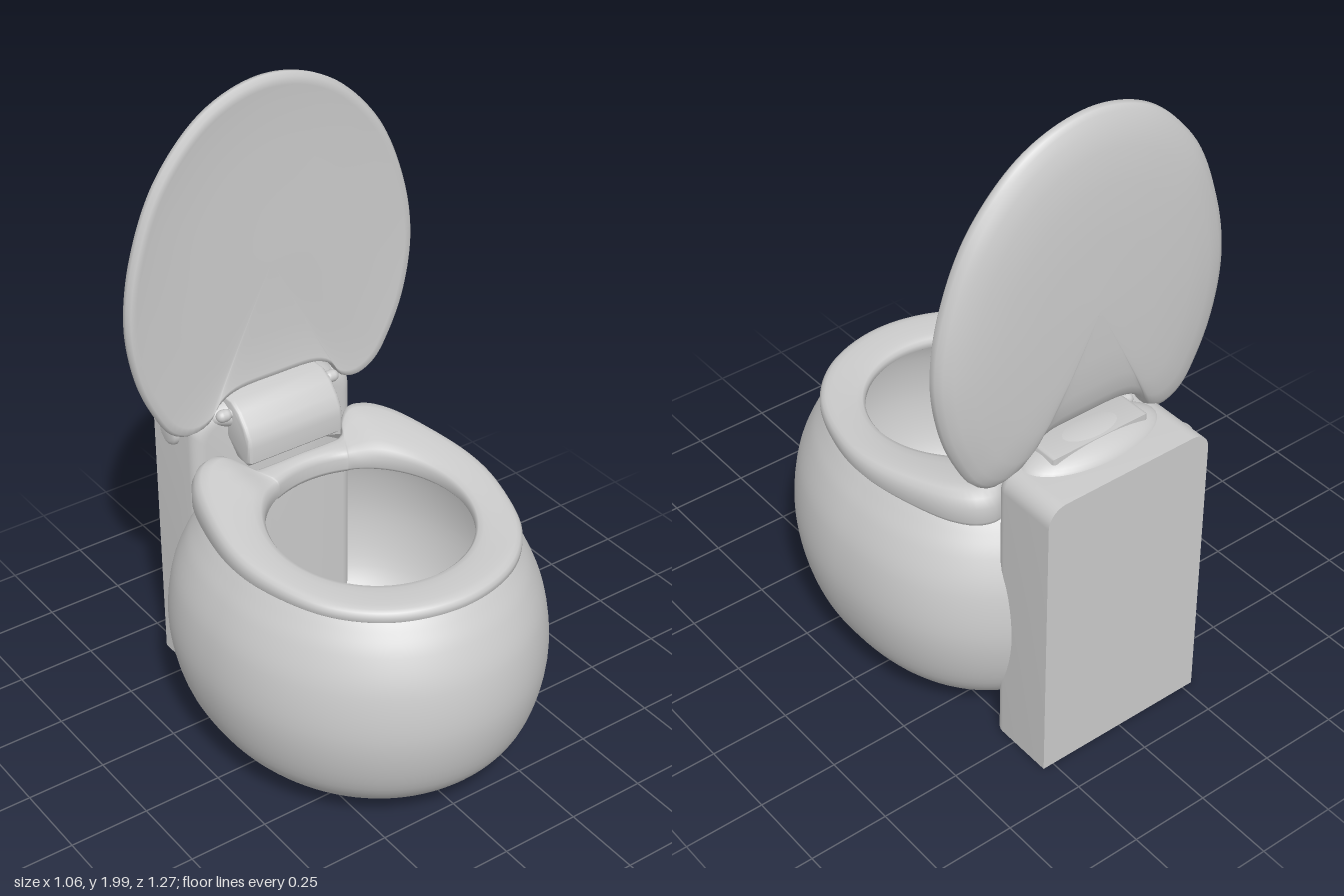
import * as THREE from 'three';
import { toCreasedNormals } from 'three/addons/utils/BufferGeometryUtils.js';

const V = (x, y, z) => new THREE.Vector3(x, y, z);
const material = new THREE.MeshStandardMaterial({ color: 0xcccccc, side: THREE.DoubleSide });

// Skin over a list of closed loops that all have the same number of points
function loft(loops) {
  const n = loops[0].length, index = [];
  for (let i = 0; i < loops.length - 1; i++) {
    for (let j = 0; j < n; j++) {
      const a = i * n + j, b = i * n + (j + 1) % n;
      index.push(a, b, a + n, b, b + n, a + n);
    }
  }
  const geometry = new THREE.BufferGeometry().setFromPoints(loops.flat());
  geometry.setIndex(index);
  geometry.computeVertexNormals();
  return geometry;
}

// Smooth closed outline from one half, mirrored in x
function mirroredOutline(half, count) {
  const other = half.slice(1, -1).reverse().map(([x, y]) => [-x, y]);
  const points = [...half, ...other].map(([x, y]) => V(x, y, 0));
  return new THREE.CatmullRomCurve3(points, true).getSpacedPoints(count).slice(0, -1);
}

// Oval radius point: plain ellipse at the front, squarer at the back
function oval(t, halfX, front, back, cz, power) {
  const s = Math.sin(t), c = Math.cos(t);
  const p = c < 0 ? 2 / power : 1;
  return [
    Math.sign(s) * halfX * Math.abs(s) ** p,
    cz + (c < 0 ? -(cz - back) : front - cz) * Math.abs(c) ** p,
  ];
}

// Hollow bowl: ovals that follow a profile of half width, height and front reach
function bowlGeometry() {
  const profile = new THREE.CatmullRomCurve3([
    [0.27, 0.01, 0.33], [0.32, 0.03, 0.4], [0.42, 0.1, 0.51], [0.49, 0.2, 0.59], [0.53, 0.38, 0.635],
    [0.515, 0.55, 0.62], [0.475, 0.66, 0.575], [0.44, 0.72, 0.535], [0.415, 0.758, 0.505],
  ].map((p) => V(...p))).getPoints(40);
  const ring = (p, k = 1) => Array.from({ length: 96 }, (_, j) => {
    const [x, z] = oval(j / 96 * Math.PI * 2, p.x, p.z, -0.85 * p.z, 0.03, 2.4);
    return V(x * k, p.y, z * k);
  });
  return loft([ring(profile[0], 0), ring(profile[0], 0.9), ...profile.map((p) => ring(p))]);
}

// Seat: ring between an outline with two rear lobes and an oval hole, rising to the back
function seatGeometry() {
  const outer = mirroredOutline([
    [0, 0.535], [0.2, 0.485], [0.34, 0.355], [0.42, 0.15], [0.435, 0], [0.405, -0.18], [0.36, -0.31],
    [0.31, -0.37], [0.25, -0.385], [0.2, -0.35], [0.165, -0.3], [0.1, -0.29], [0, -0.29],
  ], 160);
  // across the ring (0 outer, 1 inner) and up it (0 bottom, 1 top)
  const section = [
    [0.05, 0], [0, 0.15], [0, 0.55], [0.05, 0.8], [0.13, 0.94], [0.25, 1], [0.45, 1], [0.65, 0.97],
    [0.82, 0.91], [0.94, 0.8], [1, 0.6], [1, 0.15], [0.95, 0], [0.05, 0],
  ];
  const step = THREE.MathUtils.smoothstep;
  const height = (x, z) => {
    const t = THREE.MathUtils.clamp((0.4 - z) / 0.76, 0, 1);
    const dip = (1 - step(Math.abs(x), 0.14, 0.25)) * (1 - step(z, -0.3, -0.1));
    return 0.04 + 0.08 * t ** 1.6 - 0.035 * dip;
  };
  return loft(section.map(([s, h]) => outer.map((o) => {
    const a = Math.atan2(o.x, o.y - 0.08);
    const x = THREE.MathUtils.lerp(o.x, 0.3 * Math.sin(a), s);
    const z = THREE.MathUtils.lerp(o.y, 0.08 + 0.31 * Math.cos(a), s);
    return V(x, 0.755 + height(x, z) * h, z);
  })));
}

// Raised lid: slightly dished front, domed back, notch for the hinge
function lidGeometry() {
  const outline = mirroredOutline([
    [0, 2], [0.2, 1.945], [0.37, 1.78], [0.465, 1.56], [0.495, 1.36], [0.47, 1.18], [0.42, 1.05],
    [0.365, 0.965], [0.3, 0.935], [0.24, 0.955], [0.205, 1.005], [0.15, 1.033], [0, 1.04],
  ], 160);
  // scale of the outline and depth
  const section = [
    [0, -0.405], [0.3, -0.405], [0.6, -0.402], [0.85, -0.396], [0.94, -0.388], [0.98, -0.388], [1, -0.4],
    [0.995, -0.418], [0.97, -0.437], [0.92, -0.453], [0.82, -0.469], [0.65, -0.481], [0.4, -0.488], [0, -0.49],
  ];
  return loft(section.map(([k, z]) => outline.map((p) => {
    const y = 1.42 + (p.y - 1.42) * k;
    return V(p.x * k, y, z - 0.012 * ((y - 1.42) / 0.58) ** 2 * (z > -0.43 ? 1 : 0));
  })));
}

// Tank: flat back, rounded top corners and softened front edges
function tankGeometry() {
  const ring = (inset, z) => {
    const w = 0.285 - inset, top = 0.975 - inset, r = 0.06, points = [];
    for (const side of [1, -1]) {
      for (let i = 0; i <= 8; i++) {
        const a = (side > 0 ? i : 8 - i) / 8 * Math.PI / 2;
        points.push(V(side * (w - r + r * Math.sin(a)), top - r + r * Math.cos(a), z));
      }
      if (side > 0) points.push(V(w, 0.01, z), V(-w, 0.01, z));
    }
    return points;
  };
  const centre = (z) => ring(0, z).map(() => V(0, 0.5, z));
  const edge = Array.from({ length: 7 }, (_, i) => {
    const a = i / 6 * Math.PI / 2;
    return ring(0.04 * (1 - Math.sin(a)), -0.445 + 0.04 * Math.cos(a));
  });
  return toCreasedNormals(loft([centre(-0.405), ...edge, ring(0, -0.635), centre(-0.635)]), 0.6);
}

// Hinge housing: side profile (z, y) extruded across x
function housingGeometry() {
  const shape = new THREE.Shape([
    [-0.355, 0.845], [-0.41, 0.9], [-0.5, 0.9], [-0.5, 1.005], [-0.39, 1.005], [-0.355, 0.985],
    [-0.325, 0.95], [-0.307, 0.92], [-0.302, 0.895], [-0.303, 0.85], [-0.312, 0.842],
  ].map((p) => new THREE.Vector2(...p)));
  const geometry = new THREE.ExtrudeGeometry(shape, {
    depth: 0.31, bevelThickness: 0.014, bevelSize: 0.012, bevelSegments: 4,
  });
  geometry.translate(0, 0, -0.155).rotateY(-Math.PI / 2);
  return toCreasedNormals(geometry, 0.7);
}

export function createModel() {
  const model = new THREE.Group();
  const add = (name, geometry, x = 0, y = 0, z = 0) => {
    const mesh = new THREE.Mesh(geometry, material);
    mesh.name = name;
    mesh.position.set(x, y, z);
    model.add(mesh);
    return mesh;
  };

  add('bowl', bowlGeometry());
  add('seat', seatGeometry());
  add('lid', lidGeometry());
  add('tank', tankGeometry());
  add('hingeHousing', housingGeometry());

  // Mound that carries the hinge on top of the tank
  add('hingeMount', new THREE.SphereGeometry(1, 40, 24), 0, 0.955, -0.46).scale.set(0.24, 0.067, 0.115);

  // Hinge pin with a collar at each end
  add('hingePin', new THREE.CylinderGeometry(0.014, 0.014, 0.42, 20).rotateZ(Math.PI / 2), 0, 0.975, -0.388);
  for (const side of [1, -1]) {
    add('hingeCollar', new THREE.CapsuleGeometry(0.019, 0.012, 6, 20).rotateZ(Math.PI / 2), side * 0.192, 0.975, -0.388);
  }

  // Round flush button on the right side of the tank
  const button = [[0, 0.022], [0.03, 0.021], [0.041, 0.016], [0.045, 0.008], [0.045, -0.01]]
    .reverse().map((p) => new THREE.Vector2(...p));
  add('flushButton', new THREE.LatheGeometry(button, 32).rotateZ(Math.PI / 2), -0.284, 0.885, -0.535);

  return model;
}
